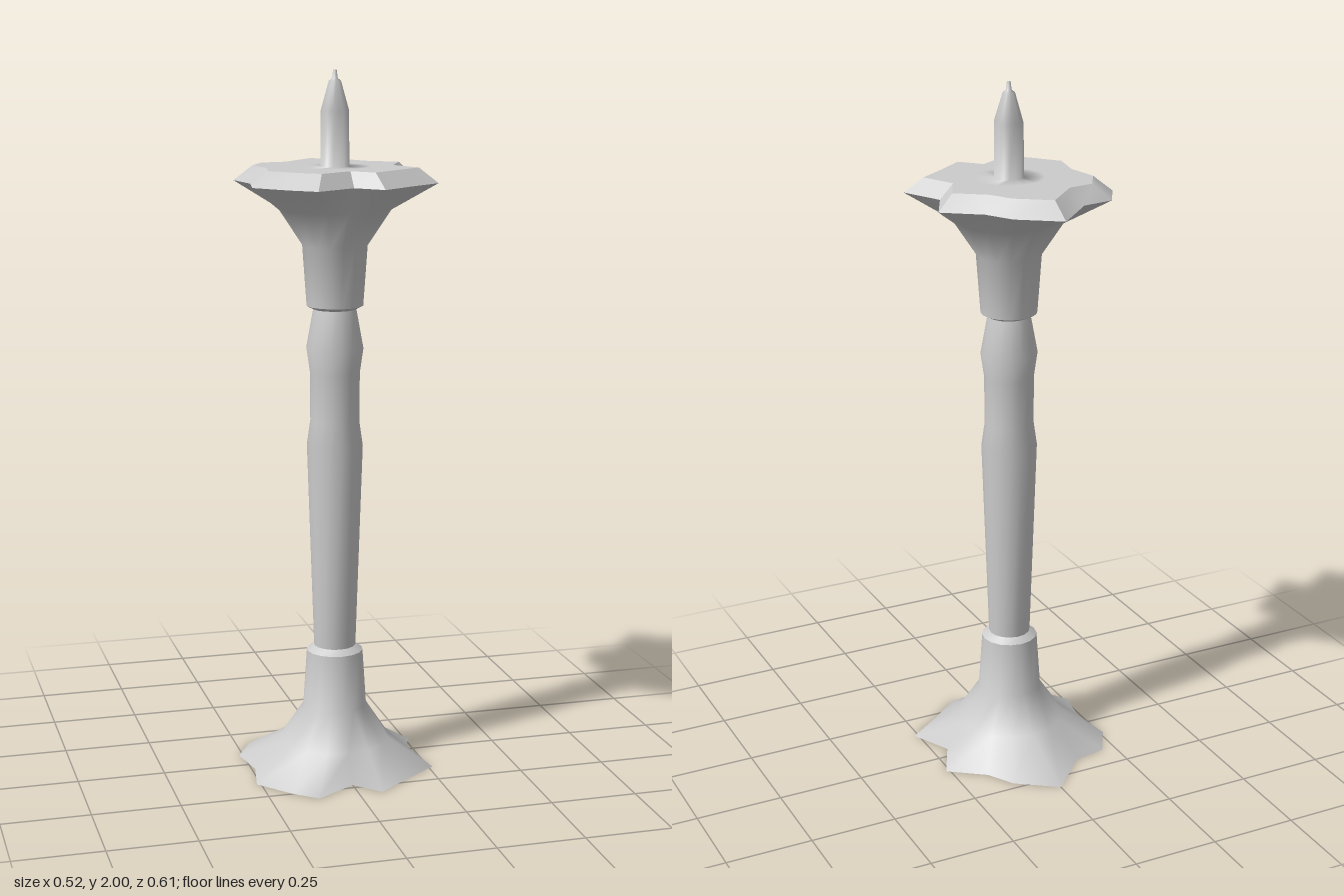
import * as THREE from 'three';
import { toCreasedNormals } from 'three/addons/utils/BufferGeometryUtils.js';

const AXIS_Z = 0.035; // the stem stands slightly forward of the centre
const SIDES = 16;

// Irregular star outline shared by the foot and the drip pan: [x, z]
const OUTLINE = [
  [0.205, 0.04], [0.262, 0.155], [0.165, 0.225], [0.067, 0.302],
  [0, 0.232], [-0.117, 0.302], [-0.18, 0.25], [-0.262, 0.155],
  [-0.24, 0.038], [-0.262, -0.077], [-0.21, -0.17], [-0.117, -0.185],
  [0, -0.305], [0.115, -0.225], [0.16, -0.15], [0.262, -0.077],
];

// Ring makers: each returns a list of points around the stem axis
function circle(y, r, square = 0) {
  return OUTLINE.map((_, i) => {
    const a = (i / SIDES) * Math.PI * 2;
    const rr = r * (1 + square * Math.sin(2 * a) ** 2);
    return [Math.cos(a) * rr, y, AXIS_Z + Math.sin(a) * rr];
  });
}
function star(y, s = 1) {
  return OUTLINE.map(([x, z]) => [x * s, y, AXIS_Z + (z - AXIS_Z) * s]);
}

// Skin consecutive rings, with smooth normals or creased above an angle
function loft(name, rings, crease = 0) {
  const index = [];
  for (let k = 0; k < rings.length - 1; k++) {
    for (let i = 0; i < SIDES; i++) {
      const j = (i + 1) % SIDES;
      const a = k * SIDES + i, b = k * SIDES + j;
      index.push(a, a + SIDES, b, b, a + SIDES, b + SIDES);
    }
  }
  let geo = new THREE.BufferGeometry();
  geo.setAttribute('position', new THREE.Float32BufferAttribute(rings.flat(2), 3));
  geo.setIndex(index);
  if (crease) geo = toCreasedNormals(geo, crease);
  else geo.computeVertexNormals();
  const mesh = new THREE.Mesh(geo, new THREE.MeshStandardMaterial({ color: 0xcccccc }));
  mesh.name = name;
  return mesh;
}

export function createModel() {
  const group = new THREE.Group();
  group.name = 'candlestick';

  group.add(
    // Foot: flat underside, flared skirt and collar
    loft('footUnderside', [circle(0, 0), star(0)]),
    loft('foot', [star(0), circle(0.08, 0.158), circle(0.18, 0.092), circle(0.345, 0.081)]),
    loft('footLip', [circle(0.345, 0.081), circle(0.36, 0.06)]),

    // Turned stem
    loft('stem', [
      [0.355, 0.06], [0.95, 0.08], [1.02, 0.07], [1.16, 0.071], [1.23, 0.081], [1.345, 0.06],
    ].map(([y, r]) => circle(y, r))),

    // Cup flaring out to the drip pan
    loft('cupLip', [circle(1.34, 0.06), circle(1.35, 0.08)]),
    loft('cup', [circle(1.35, 0.08), circle(1.52, 0.092), circle(1.62, 0.158), star(1.695)]),
    loft('panRim', [star(1.695), star(1.737, 0.81)], 0.6),

    // Pan top running smoothly into the candle, its tip and wick
    loft('panAndCandle', [
      star(1.737, 0.81), circle(1.737, 0.1), circle(1.737, 0.037, 0.18),
      circle(1.89, 0.036, 0.18), circle(1.97, 0.017), circle(1.977, 0.008),
      circle(2, 0.005), circle(2, 0),
    ]),
  );
  return group;
}
